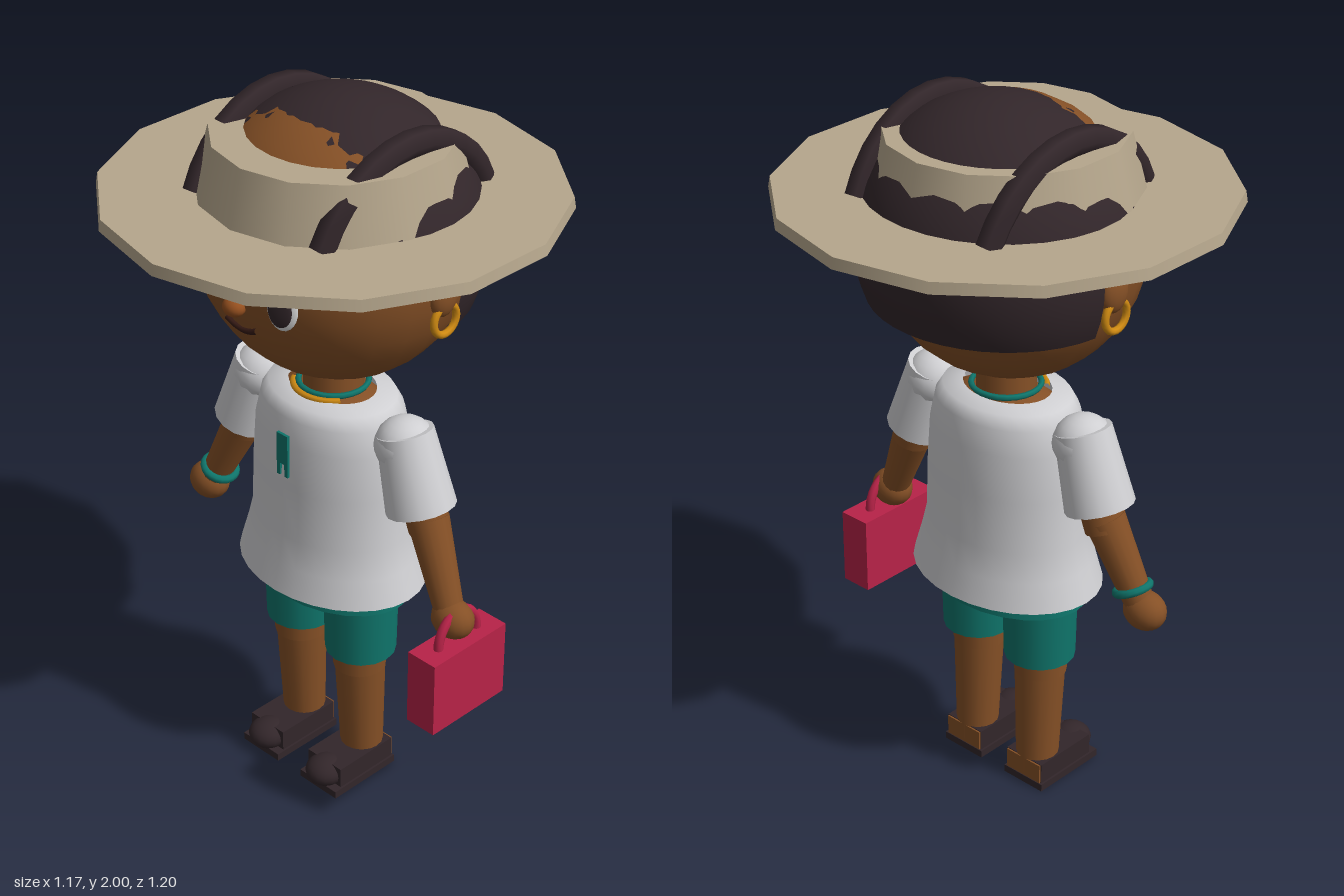
import * as THREE from 'three';

const mat = (name, hex, side = THREE.FrontSide) => {
  const m = new THREE.MeshStandardMaterial({ color: hex, side });
  m.name = name;
  return m;
};

export function createModel() {
  const D = THREE.DoubleSide;
  const skin = mat('brown skin', 0x855026), hair = mat('dark brown', 0x32262a, D);
  const straw = mat('straw', 0xb5a68c), shirt = mat('white cotton', 0xcfcfd2, D);
  const teal = mat('teal', 0x0f756b, D), red = mat('crimson', 0xb82348);
  const gold = mat('gold', 0xcf8a12), noseTone = mat('warm brown', 0x96501f);
  const white = mat('eye white', 0xdcdcdc), lip = mat('lip', 0x351a14);

  const model = new THREE.Group();
  model.name = 'travellerFigure';
  const add = (name, geo, m, pos = [0, 0, 0], scale = [1, 1, 1], rot = [0, 0, 0]) => {
    const mesh = new THREE.Mesh(geo, m);
    mesh.name = name;
    mesh.position.set(...pos);
    mesh.scale.set(...scale);
    mesh.rotation.set(...rot);
    model.add(mesh);
    return mesh;
  };
  const ball = (name, m, pos, radii, rot) =>
    add(name, new THREE.SphereGeometry(1, 16, 12), m, pos, radii, rot);
  const box = (name, m, pos, size) => add(name, new THREE.BoxGeometry(...size), m, pos);
  // tapered limb between two points
  const UP = new THREE.Vector3(0, 1, 0);
  const limb = (name, m, a, b, ra, rb, open = false) => {
    const A = new THREE.Vector3(...a), B = new THREE.Vector3(...b), d = A.clone().sub(B);
    const mesh = add(name, new THREE.CylinderGeometry(ra, rb, d.length(), 16, 1, open), m,
      A.clone().add(B).multiplyScalar(0.5).toArray());
    mesh.quaternion.setFromUnitVectors(UP, d.normalize());
    return mesh;
  };

  // Head and neck
  const HR = [0.375, 0.368, 0.342], HY = 1.622;
  add('head', new THREE.SphereGeometry(1, 24, 16), skin, [0, HY, 0], HR);
  limb('neck', skin, [0, 1.32, 0], [0, 1.15, 0], 0.078, 0.08);
  const faceZ = (x, y) => HR[2] * Math.sqrt(1 - (x / HR[0]) ** 2 - ((y - HY) / HR[1]) ** 2);

  // Hair: tilted cap, longer back, and two braids over the crown
  add('hairCap', new THREE.SphereGeometry(1, 28, 12, 0, Math.PI * 2, 0, 1.39), hair,
    [0, 1.62, -0.025], [0.385, 0.38, 0.362], [-0.2, 0, 0]);
  add('hairBack', new THREE.SphereGeometry(1, 20, 14, Math.PI + 0.1, Math.PI - 0.2, 0, 1.977), hair,
    [0, 1.62, -0.025], [0.385, 0.38, 0.36]);
  for (const s of [-1, 1]) {
    const pts = [];
    for (let i = 0; i <= 10; i++) {
      const a = 0.42 + (Math.PI - 0.84) * i / 10;
      pts.push(new THREE.Vector3(s * (0.215 + 0.018 * Math.sin(a)),
        1.62 + 0.318 * Math.sin(a), -0.02 + 0.305 * Math.cos(a)));
    }
    add('braid', new THREE.TubeGeometry(new THREE.CatmullRomCurve3(pts), 12, 0.036, 6), hair);
  }

  // Straw hat with fourteen sides
  add('hatBrim', new THREE.CylinderGeometry(0.595, 0.6, 0.03, 14), straw, [0, 1.745, 0]);
  add('hatCrown', new THREE.CylinderGeometry(0.312, 0.35, 0.15, 14), straw, [0, 1.834, 0]);

  // Face
  for (const s of [-1, 1]) {
    const x = 0.143 * s, y = 1.588, z = faceZ(x, y), turn = [0, 0.4 * s, 0];
    ball('eyeWhite', white, [x, y, z], [0.041, 0.062, 0.012], turn);
    ball('iris', hair, [x, y - 0.002, z + 0.009], [0.032, 0.048, 0.008], turn);
    ball('eyeGlint', white, [x - 0.008, y + 0.02, z + 0.017], [0.008, 0.01, 0.004], turn);
    const brow = [-0.042, 0, 0.042].map((d, i) => {
      const bx = s * (0.138 + d), by = 1.662 + (i === 1 ? 0.006 : i ? -0.001 : 0);
      return new THREE.Vector3(bx, by, faceZ(bx, by) + 0.002);
    });
    add('eyebrow', new THREE.TubeGeometry(new THREE.CatmullRomCurve3(brow), 8, 0.009, 6), hair);
    ball('ear', skin, [0.368 * s, 1.585, -0.01], [0.026, 0.056, 0.044]);
    add('earring', new THREE.TorusGeometry(0.04, 0.01, 8, 20), gold,
      [0.376 * s, 1.522, -0.01], [1, 1, 1], [0, Math.PI / 2, 0]);
  }
  ball('nose', noseTone, [0, 1.548, 0.342], [0.032, 0.026, 0.028]);
  const smile = [-0.054, -0.03, 0, 0.03, 0.054].map((x) => {
    const y = 1.474 + 5.5 * x * x;
    return new THREE.Vector3(x, y, faceZ(x, y) + 0.002);
  });
  add('mouth', new THREE.TubeGeometry(new THREE.CatmullRomCurve3(smile), 12, 0.008, 6), lip);

  // Shirt, open at the neck and hem
  const profile = [[0.286, 0.64], [0.262, 0.72], [0.242, 0.8], [0.237, 0.95], [0.228, 1.08],
    [0.212, 1.15], [0.19, 1.185], [0.13, 1.195]].map((p) => new THREE.Vector2(...p));
  add('shirt', new THREE.LatheGeometry(profile, 28), shirt, [0, 0, 0.004], [1, 1, 0.765]);
  ball('upperChest', skin, [0, 1.12, 0], [0.18, 0.078, 0.13]);
  add('necklace', new THREE.TorusGeometry(0.092, 0.008, 6, 24), teal,
    [0, 1.202, 0], [1, 1, 1], [Math.PI / 2, 0, 0]);
  add('goldCollar', new THREE.TorusGeometry(0.105, 0.009, 6, 16, Math.PI * 0.6), gold,
    [0, 1.194, 0], [1, 1, 1], [Math.PI / 2, 0, Math.PI * 0.2]);
  // notched teal placket
  const tab = new THREE.Shape([[-0.02, 1.112], [-0.02, 0.986], [-0.009, 0.986], [-0.007, 1.022],
    [0.007, 1.022], [0.009, 0.986], [0.02, 0.986], [0.02, 1.112]].map((p) => new THREE.Vector2(...p)));
  add('placket', new THREE.ExtrudeGeometry(tab, { depth: 0.008, bevelEnabled: false }), teal, [0, 0, 0.18]);

  // Arms with sleeves
  for (const s of [-1, 1]) {
    ball('shoulderPuff', shirt, [0.265 * s, 1.12, 0.005], [0.082, 0.078, 0.082]);
    limb('sleeve', shirt, [0.262 * s, 1.16, 0.005], [0.325 * s, 0.955, 0.005], 0.076, 0.094);
    limb('upperArm', skin, [0.28 * s, 1.1, 0], [0.352 * s, 0.9, 0], 0.06, 0.056);
    limb('forearm', skin, [0.345 * s, 0.93, 0], [0.448 * s, 0.71, 0.025], 0.056, 0.04);
    ball('hand', skin, [0.466 * s, 0.688, 0.028], [0.062, 0.054, 0.052]);
  }
  add('bracelet', new THREE.TorusGeometry(0.045, 0.012, 8, 20), teal,
    [-0.428, 0.742, 0.022], [1, 1, 1], [Math.PI / 2, -0.42, 0]);

  // Handbag
  box('bag', red, [0.484, 0.525, 0.028], [0.094, 0.22, 0.27]);
  add('bagHandle', new THREE.TorusGeometry(0.072, 0.013, 8, 16, Math.PI), red,
    [0.484, 0.635, 0.028], [1, 1.18, 1], [0, Math.PI / 2, 0]);

  // Shorts, legs and shoes
  add('waistband', new THREE.CylinderGeometry(0.235, 0.25, 0.12, 24, 1, true), teal,
    [0, 0.658, 0.004], [1, 1, 0.72]);
  add('hips', new THREE.CylinderGeometry(0.225, 0.225, 0.08, 24), skin, [0, 0.66, 0], [1, 1, 0.7]);
  for (const s of [-1, 1]) {
    const x = 0.115 * s;
    limb('shortsLeg', teal, [x, 0.65, 0.01], [x, 0.408, 0.01], 0.103, 0.098);
    limb('thigh', skin, [x, 0.5, 0.014], [x, 0.352, 0.014], 0.075, 0.073);
    limb('shin', skin, [x, 0.36, 0.012], [x, 0.03, 0.002], 0.07, 0.058);
    box('sole', hair, [x, 0.011, 0.06], [0.14, 0.022, 0.232]);
    box('shoeUpper', hair, [x, 0.05, 0.05], [0.128, 0.066, 0.2]);
    box('heel', skin, [x, 0.052, -0.051], [0.122, 0.058, 0.008]);
    ball('shoeToe', hair, [x, 0.048, 0.145], [0.056, 0.042, 0.058]);
  }
  return model;
}
